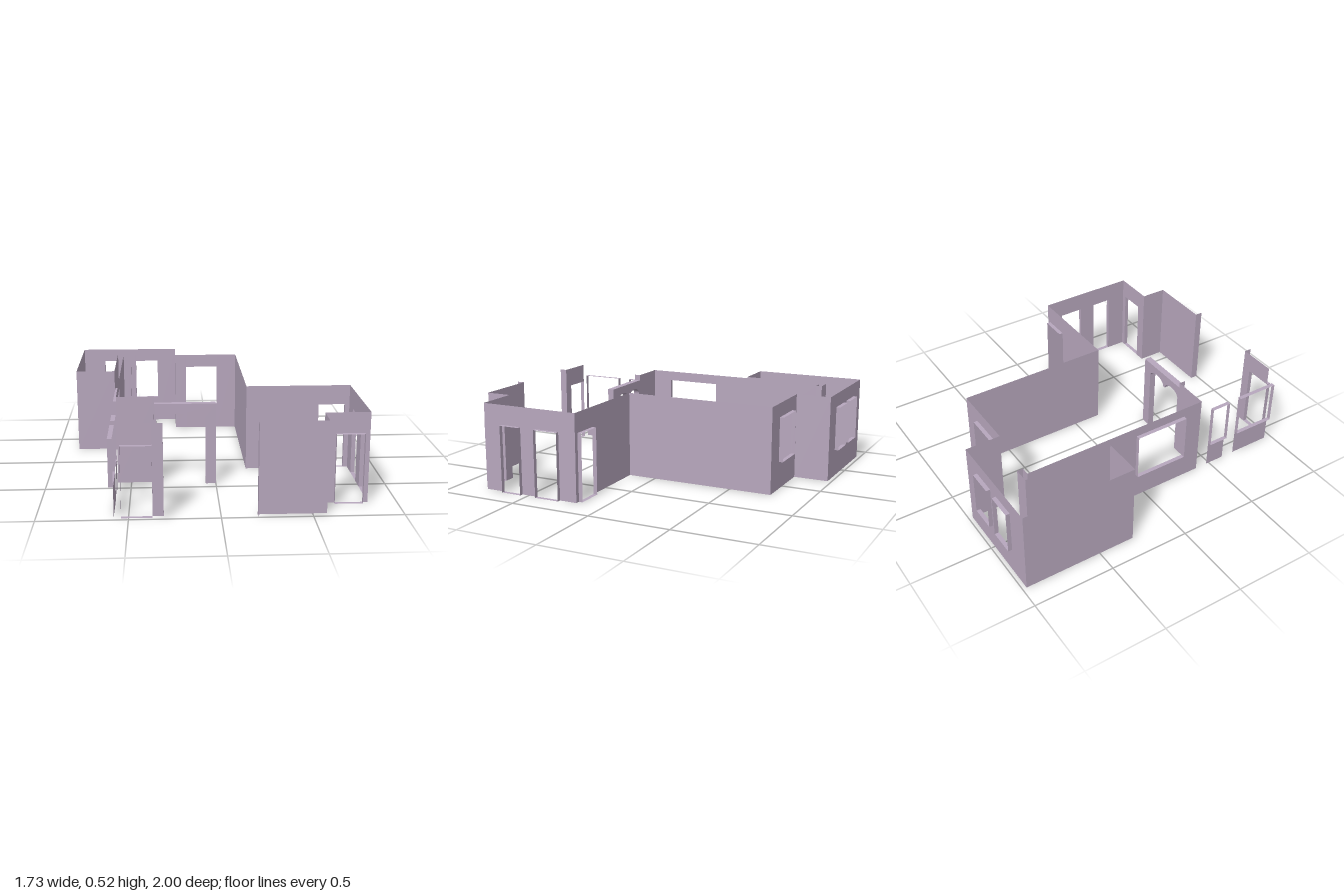
import * as THREE from 'three';
import { mergeGeometries } from 'three/addons/utils/BufferGeometryUtils.js';

const H = 0.525;      // wall height
const DOOR = 0.405;   // door head
const SILL = 0.168;   // window sill
const HEAD = 0.44;    // window head
const D = 0.025;      // reveal depth

export function createModel() {
  const group = new THREE.Group();
  const material = new THREE.MeshStandardMaterial({ color: 0xb7a7bd, side: THREE.DoubleSide, flatShading: true });

  const add = (name, geometry) => {
    const mesh = new THREE.Mesh(geometry, material);
    mesh.name = name;
    group.add(mesh);
  };

  // Flat rectangle parallel to the x or z axis, upright or lying
  const plane = (w, h, x, y, z, rx = 0, ry = 0) => {
    const g = new THREE.PlaneGeometry(w, h);
    g.rotateX(rx);
    g.rotateY(ry);
    return g.translate(x, y, z);
  };

  // Upright sheet from s0 to s1 along an axis, at fixed position c on the other
  const sheet = (axis, c, s0, s1, y0, y1) => {
    const m = (s0 + s1) / 2, y = (y0 + y1) / 2, w = Math.abs(s1 - s0);
    return axis === 'x' ? plane(w, y1 - y0, m, y, c) : plane(w, y1 - y0, c, y, m, 0, Math.PI / 2);
  };

  // Wall sheet with rectangular openings [s0, s1, y0, y1], listed in rising order
  const wall = (name, axis, c, s0, s1, openings = []) => {
    const parts = [];
    let s = s0;
    for (const [a, b, y0, y1] of openings) {
      if (a > s + 0.001) parts.push(sheet(axis, c, s, a, 0, H));
      if (y0 > 0) parts.push(sheet(axis, c, a, b, 0, y0));
      if (y1 < H) parts.push(sheet(axis, c, a, b, y1, H));
      s = b;
    }
    if (s1 > s + 0.001) parts.push(sheet(axis, c, s, s1, 0, H));
    add(name, mergeGeometries(parts));
  };

  // Four thin sides of an opening, projecting outward from the wall
  const reveal = (name, axis, c, out, [a, b, y0, y1]) => {
    const e = c + out * D, mid = (c + e) / 2, m = (a + b) / 2;
    const other = axis === 'x' ? 'z' : 'x';
    const parts = [a, b].map((s) => sheet(other, s, c, e, y0, y1));
    for (const y of [y0 + 0.001, y1]) {
      parts.push(axis === 'x'
        ? plane(b - a, D, m, y, mid, -Math.PI / 2)
        : plane(D, b - a, mid, y, m, -Math.PI / 2));
    }
    add(name, mergeGeometries(parts));
  };

  const walled = (name, axis, c, s0, s1, out, openings) => {
    wall(name + 'Wall', axis, c, s0, s1, openings);
    openings.forEach((o, i) => reveal(name + 'Reveal' + (i + 1), axis, c, out, o));
  };

  // Back room with its pair of windows
  walled('backRoom', 'x', -0.975, -0.865, -0.22, -1, [[-0.72, -0.565, SILL, HEAD], [-0.5, -0.345, SILL, HEAD]]);
  wall('backRoomRightWall', 'z', -0.865, -0.975, -0.275);
  wall('backRoomFrontWall', 'x', -0.275, -0.865, -0.62);
  wall('backRoomLeftWall', 'z', -0.22, -0.975, -0.76);

  // Middle room
  walled('middleBack', 'x', -0.76, -0.22, 0.2, -1, [[-0.145, 0.07, SILL, HEAD]]);
  wall('middleLeftWall', 'z', 0.2, -0.76, 0.175);
  walled('middleRight', 'z', -0.58, -0.785, 0.4, -1, [[-0.065, 0.275, SILL, 0.465]]);

  // Thick partition: outer face and end post
  wall('partitionOuterFace', 'z', -0.62, -0.82, -0.275);
  wall('partitionEnd', 'x', -0.82, -0.62, -0.53);
  wall('partitionPostSide', 'z', -0.53, -0.82, -0.785);
  wall('partitionPostFront', 'x', -0.785, -0.58, -0.53);

  // Left bay with doors on three sides
  walled('bayBack', 'x', 0.175, 0.2, 0.835, -1, [[0.645, 0.808, 0, DOOR]]);
  walled('bayLeft', 'z', 0.835, 0.175, 0.795, 1, [[0.285, 0.44, 0, DOOR], [0.545, 0.672, 0, DOOR]]);
  walled('bayFront', 'x', 0.795, 0.58, 0.835, 1, [[0.645, 0.805, 0, DOOR]]);
  wall('bayReturnWall', 'z', 0.58, 0.795, 0.955);
  wall('frontLeftWall', 'x', 0.955, 0.2, 0.58);

  // Jambs of the wide front gap
  wall('frontLeftJamb', 'z', 0.2, 0.955, 1.0);
  wall('frontRightJamb', 'z', -0.31, 0.955, 1.0);

  // Front right porch: door and two low-silled windows without lintels
  walled('porchFront', 'x', 0.955, -0.54, -0.31, 1, [[-0.54, -0.37, 0, DOOR]]);
  [[0.48, 0.605], [0.69, 0.955]].forEach(([a, b], i) => {
    add('porchSillPanel' + (i + 1), sheet('z', -0.58, a, b, 0, SILL));
    reveal('porchWindowReveal' + (i + 1), 'z', -0.58, -1, [a, b, SILL, HEAD]);
  });

  // Inner wall next to the double arch
  wall('archSideWall', 'x', 0.4, -0.58, -0.36);
  wall('archSideJamb', 'z', -0.362, 0.4, 0.44);

  // Double arch with a hanging middle cusp
  const arch = new THREE.Shape();
  arch.moveTo(-0.36, 0);
  arch.lineTo(-0.36, 0.49);
  arch.lineTo(0, 0.49);
  arch.lineTo(0, 0);
  arch.lineTo(-0.06, 0);
  arch.lineTo(-0.06, 0.4);
  arch.absellipse(-0.13, 0.4, 0.07, 0.042, 0, Math.PI, false);
  arch.lineTo(-0.216, 0.4);
  arch.absellipse(-0.282, 0.4, 0.066, 0.042, 0, Math.PI, false);
  arch.lineTo(-0.348, 0);
  const archGeometry = new THREE.ExtrudeGeometry(arch, { depth: 0.04, bevelEnabled: false, curveSegments: 10 });
  add('doubleArch', archGeometry.translate(0, 0, 0.4));

  return group;
}
